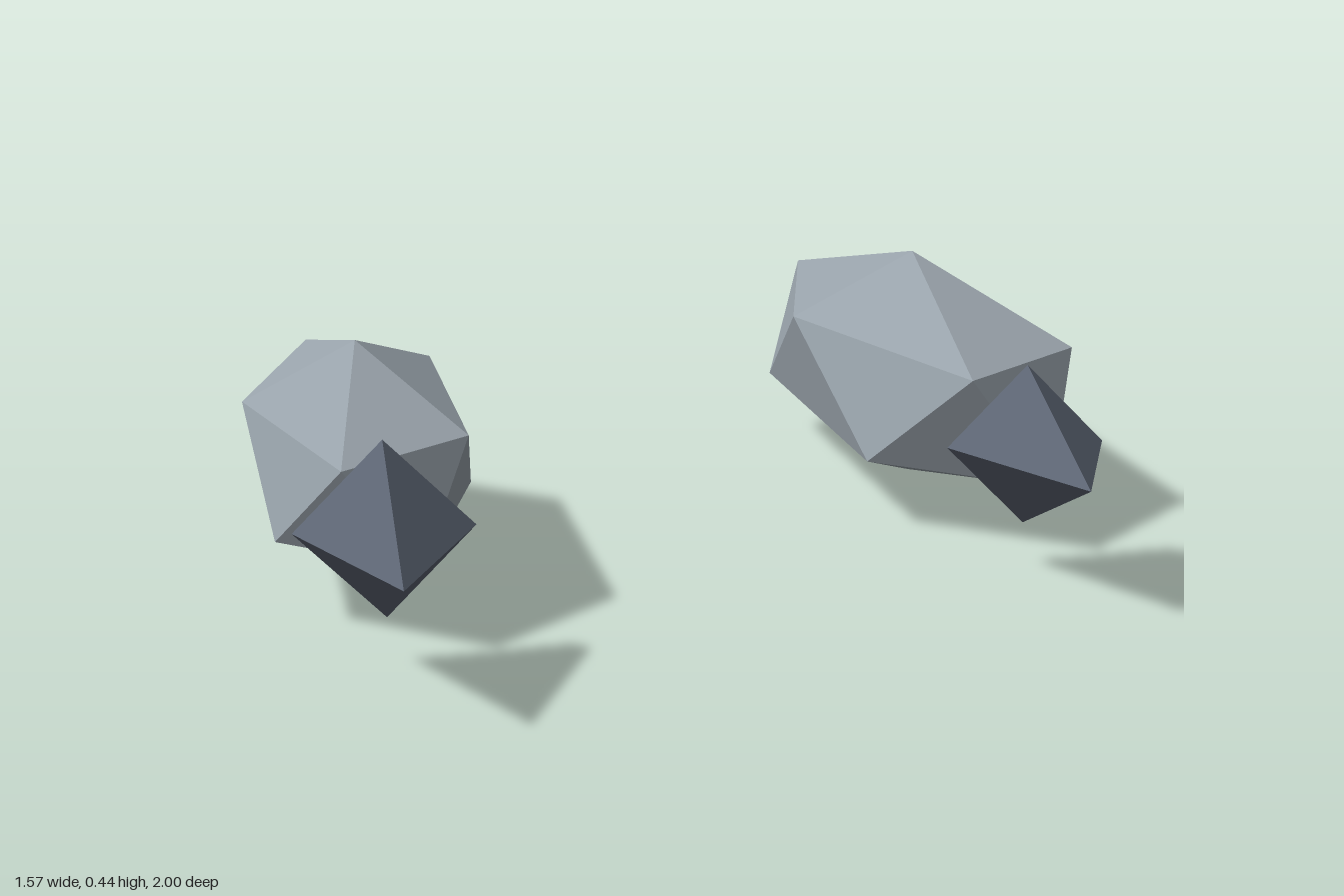
import * as THREE from 'three';

const rockGrey = new THREE.MeshStandardMaterial({ color: 0x98a2aa, flatShading: true });
rockGrey.name = 'rock grey';
const slate = new THREE.MeshStandardMaterial({ color: 0x5c6472, flatShading: true });
slate.name = 'slate';

const AXIS_Y = 0.2275;

// Stretched icosahedron, turned so one vertex points straight up
function makeBody(scale) {
  const geometry = new THREE.IcosahedronGeometry(1, 0);
  geometry.rotateZ(Math.atan(2 / (1 + Math.sqrt(5))));
  geometry.scale(0.2685 * scale, 0.2225 * scale, 0.67 * scale * Math.sqrt(5) / 2);
  const mesh = new THREE.Mesh(geometry, rockGrey);
  mesh.name = 'body';
  return mesh;
}

// Four-sided spike pointing forward
function makeSpike(baseZ) {
  const length = 0.326;
  const geometry = new THREE.ConeGeometry(0.14, length, 4);
  geometry.rotateX(Math.PI / 2);
  const mesh = new THREE.Mesh(geometry, slate);
  mesh.name = 'noseSpike';
  mesh.position.z = baseZ + length / 2;
  return mesh;
}

function makeDart(name, x, bodyZ, scale, spikeZ) {
  const dart = new THREE.Group();
  dart.name = name;
  const body = makeBody(scale);
  body.position.z = bodyZ;
  dart.add(body, makeSpike(spikeZ));
  dart.position.set(x, AXIS_Y, 0);
  return dart;
}

export function createModel() {
  const model = new THREE.Group();
  model.name = 'dartPair';
  model.add(
    makeDart('largeDart', 0.54, -0.363, 1, 0.345),
    makeDart('smallDart', -0.59, 0.108, 0.812, 0.673)
  );
  return model;
}
